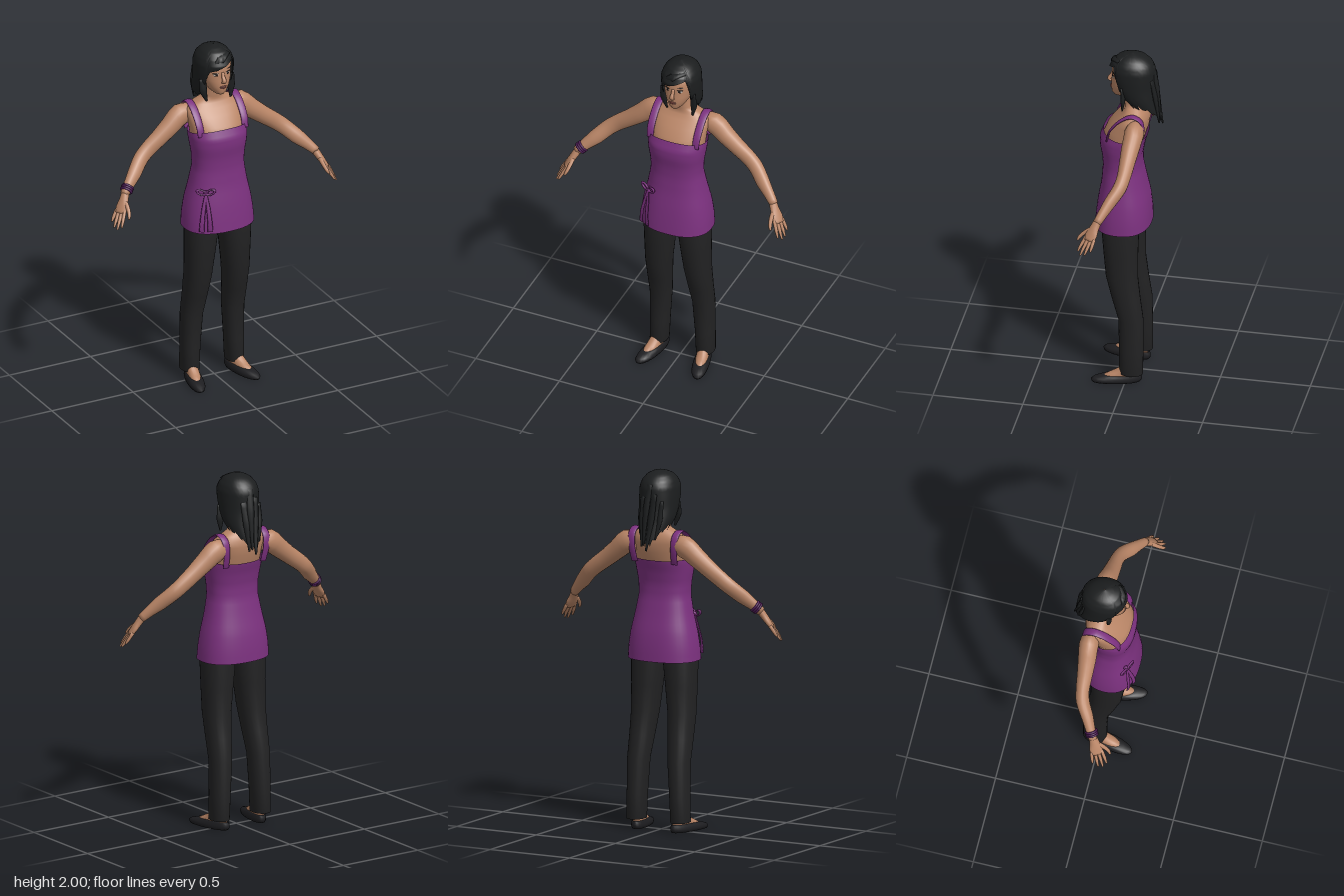
import * as THREE from 'three';

const mat = (name, color, side = THREE.FrontSide) => {
  const m = new THREE.MeshStandardMaterial({ color, side });
  m.name = name;
  return m;
};

// Closed skin over rows of ring points (each ring wraps round)
function skinRows(rows) {
  const n = rows[0].length, pos = [], idx = [];
  rows.forEach(r => r.forEach(p => pos.push(p.x, p.y, p.z)));
  for (let i = 0; i < rows.length - 1; i++) {
    for (let j = 0; j < n; j++) {
      const a = i * n + j, b = i * n + (j + 1) % n;
      idx.push(a, b, a + n, b, b + n, a + n);
    }
  }
  const g = new THREE.BufferGeometry();
  g.setAttribute('position', new THREE.Float32BufferAttribute(pos, 3));
  g.setIndex(idx);
  g.computeVertexNormals();
  return g;
}

// Upright body from a table of [y, half width, front z, back z, centre x].
// low and high give the rim height at each angle (0 = front, + = model's left).
function shell(table, { low, high, rows = 24, cols = 40, p = 0.9, side = 1, shear = 0 } = {}) {
  const at = y => {
    let i = 0;
    while (i < table.length - 2 && y > table[i + 1][0]) i++;
    const a = table[i], b = table[i + 1];
    const t = THREE.MathUtils.clamp((y - a[0]) / (b[0] - a[0]), 0, 1);
    return [1, 2, 3, 4].map(k => THREE.MathUtils.lerp(a[k] ?? 0, b[k] ?? 0, t));
  };
  const pw = v => Math.sign(v) * Math.abs(v) ** p;
  const exact = !low && !high;
  const count = exact ? table.length : rows + 1;
  const out = [];
  for (let i = 0; i < count; i++) {
    const ring = [];
    for (let j = 0; j < cols; j++) {
      const th = -Math.PI + j / cols * Math.PI * 2;
      const lo = low ? low(th) : table[0][0], hi = high ? high(th) : table.at(-1)[0];
      const y = exact ? table[i][0] : lo + (hi - lo) * (1 - (1 - i / rows) ** 1.6);
      const [rx, zf, zb, cx] = exact ? [1, 2, 3, 4].map(k => table[i][k] ?? 0) : at(y);
      const z = (zf + zb) / 2 + (zf - zb) / 2 * pw(Math.cos(th));
      ring.push(new THREE.Vector3(side * (cx + shear * z) + rx * pw(Math.sin(th)), y, z));
    }
    out.push(ring);
  }
  return skinRows(out);
}

// Tapered limb through [x, y, z, ru, rv]; ru lies along ref, rv across it
function limb(pts, ref, side = 1, sides = 14, steps = 3) {
  const curve = new THREE.CatmullRomCurve3(pts.map(p => new THREE.Vector3(p[0] * side, p[1], p[2])));
  const total = (pts.length - 1) * steps, rows = [];
  const R = new THREE.Vector3(ref[0] * side, ref[1], ref[2]);
  for (let i = 0; i <= total; i++) {
    const t = i / total, k = Math.min(Math.floor(i / steps), pts.length - 2), f = i / steps - k;
    const c = curve.getPoint(t), d = curve.getTangent(t);
    const u = R.clone().addScaledVector(d, -R.dot(d)).normalize();
    const v = d.clone().cross(u);
    const ru = THREE.MathUtils.lerp(pts[k][3], pts[k + 1][3], f);
    const rv = THREE.MathUtils.lerp(pts[k][4] ?? pts[k][3], pts[k + 1][4] ?? pts[k + 1][3], f);
    const ring = s => Array.from({ length: sides }, (_, j) => {
      const a = j / sides * Math.PI * 2;
      return c.clone().addScaledVector(u, ru * s * Math.cos(a)).addScaledVector(v, rv * s * Math.sin(a));
    });
    if (i === 0) rows.push(ring(0));
    rows.push(ring(1));
    if (i === total) rows.push(ring(0));
  }
  return skinRows(rows);
}

export function createModel() {
  const model = new THREE.Group();
  const skin = mat('skin', 0xb98566), purple = mat('purple cloth', 0x7c317f, THREE.DoubleSide);
  const trousers = mat('black trousers', 0x222223), hairMat = mat('black hair', 0x1c1e1f, THREE.DoubleSide);
  const shoeMat = mat('black shoe', 0x1d1d20), band = mat('dark purple band', 0x4d1b55);
  const white = mat('eye white', 0xc9c0b8), dark = mat('dark eye', 0x1e1512), lipMat = mat('lips', 0x8f4f45);
  const add = (name, geo, m, parent = model) => {
    const mesh = new THREE.Mesh(geo, m);
    mesh.name = name;
    parent.add(mesh);
    return mesh;
  };
  const blob = (name, m, x, y, z, sx, sy, sz, ry = 0) => {
    const b = add(name, new THREE.SphereGeometry(1, 14, 10), m);
    b.position.set(x, y, z);
    b.scale.set(sx, sy, sz);
    b.rotation.y = ry;
  };

  // Chest, shoulders and neck
  add('chest', shell([
    [1.42, .14, .14, -.06], [1.5, .155, .147, -.085], [1.55, .155, .125, -.1], [1.6, .163, .085, -.108],
    [1.635, .16, .052, -.104], [1.66, .125, .03, -.09], [1.682, .075, .025, -.075], [1.7, .055, .032, -.065],
    [1.78, .048, .04, -.055]]), skin);

  // Tunic with a dipped back neckline, and its shoulder straps
  add('tunic', shell([
    [.945, .205, .19, -.12], [1.02, .2, .183, -.117], [1.1, .188, .173, -.108], [1.2, .165, .156, -.086],
    [1.3, .147, .147, -.067], [1.37, .15, .151, -.067], [1.44, .161, .163, -.08], [1.49, .166, .164, -.095],
    [1.56, .163, .134, -.112]], {
    low: () => .945,
    high: th => 1.515 + .028 * Math.max(0, Math.cos(th)) - .01 * Math.max(0, -Math.cos(th)), p: .85
  }), purple);
  for (const s of [1, -1]) {
    add('shoulderStrap', limb([
      [.135, 1.51, .105, .02, .006], [.137, 1.56, .093, .021, .006], [.138, 1.61, .06, .022, .006],
      [.138, 1.655, .01, .022, .006], [.138, 1.672, -.04, .022, .006], [.136, 1.645, -.085, .022, .006],
      [.132, 1.58, -.096, .021, .006], [.125, 1.49, -.075, .02, .006]], [1, 0, 0], s), purple);
  }

  // Bow and ribbon tails on the right hip
  const bow = new THREE.Group();
  bow.name = 'bow';
  bow.position.set(-.125, 1.185, .14);
  bow.rotation.y = -.45;
  model.add(bow);
  add('knot', new THREE.SphereGeometry(.014, 10, 8), purple, bow);
  for (const s of [1, -1]) {
    const loop = add('bowLoop', new THREE.TorusGeometry(.02, .007, 6, 14), purple, bow);
    loop.position.set(s * .026, .006, .008);
    loop.scale.set(1.2, .7, 1);
    loop.rotation.z = s * .4;
    add('ribbonTail', limb([[0, 0, .005, .006, .003], [s * .012, -.08, .022, .011, .003],
      [s * .02, -.15, .035, .013, .003], [s * .024, -.22, .036, .015, .003]], [1, 0, 0], 1, 8), purple, bow);
  }

  // Hips hidden under the tunic
  add('hips', shell([[.935, .03, .08, -.03], [.96, .15, .13, -.07], [1.06, .165, .14, -.08], [1.12, .01, .05, 0]]), trousers);

  for (const s of [1, -1]) {
    // Trouser leg
    add('leg', shell([
      [.055, .03, .015, -.07, .138], [.055, .05, .036, -.096, .138], [.2, .053, .036, -.097, .134],
      [.39, .06, .042, -.095, .127], [.52, .066, .08, -.077, .121], [.65, .073, .113, -.062, .115],
      [.8, .083, .128, -.062, .107], [.94, .092, .14, -.066, .1], [1.05, .085, .13, -.06, .095]], { side: s, cols: 24 }), trousers);
    // Foot and slip-on shoe
    add('foot', shell([[.02, .036, .125, -.07, .137], [.04, .036, .115, -.072, .137], [.055, .034, .085, -.072, .137],
      [.075, .034, .045, -.074, .137], [.11, .03, .02, -.07, .137]], { side: s, shear: .2, cols: 20 }), skin);
    add('shoe', shell([[0, .001, .06, .05, .137], [0, .043, .18, -.08, .137], [.014, .047, .186, -.088, .137],
      [.026, .045, .172, -.088, .137], [.037, .041, .135, -.085, .137], [.045, .036, .09, -.082, .137],
      [.04, .03, .085, -.074, .137]], { side: s, shear: .2, cols: 24 }), shoeMat);

    // Arm, bent forward at the elbow
    add('arm', limb([
      [.12, 1.595, -.05, .045, .05], [.18, 1.59, -.055, .054, .064], [.25, 1.537, -.048, .05, .055],
      [.32, 1.483, -.043, .043, .049], [.39, 1.432, -.038, .037, .046], [.44, 1.392, -.025, .037, .044],
      [.5, 1.335, .015, .033, .042], [.55, 1.29, .045, .027, .032], [.59, 1.25, .07, .023, .025]],
      [0, 0, 1], s, 18), skin);

    // Hand: palm, four fingers and thumb laid out along d and across w
    const d = new THREE.Vector3(.46, -.81, .33).normalize();
    const w = new THREE.Vector3(-.4, 0, .9);
    w.addScaledVector(d, -w.dot(d)).normalize();
    const at = (a, b, ...r) => [.582 + d.x * a + w.x * b, 1.258 + d.y * a + w.y * b, .066 + d.z * a + w.z * b, ...r];
    const ref = w.toArray();
    add('palm', limb([at(0, 0, .022, .022), at(.04, .002, .027, .02), at(.08, .002, .037, .017),
      at(.118, 0, .034, .013)], ref, s), skin);
    [-.027, -.009, .009, .027].forEach((b, i) => {
      const len = [.17, .2, .21, .195][i];
      add('finger', limb([at(.1, b, .0105), at((.1 + len) / 2 + .01, b * 1.25, .0095),
        at(len, b * 1.35, .0055)], ref, s, 8), skin);
    });
    add('thumb', limb([at(.05, .015, .014), at(.085, .045, .012), at(.12, .064, .01), at(.142, .068, .006)], ref, s, 8), skin);

    // Eyes and brows
    blob('eyeWhite', white, s * .036, 1.858, .089, .016, .008, .005, s * .4);
    blob('iris', dark, s * .035, 1.858, .092, .008, .008, .004, s * .4);
    blob('eyeLash', dark, s * .037, 1.867, .09, .018, .003, .005, s * .4);
    blob('brow', dark, s * .038, 1.885, .09, .019, .003, .004, s * .4);
  }

  // Bracelet on the right wrist
  for (const k of [-.011, 0, .011]) {
    const ring = add('bracelet', new THREE.TorusGeometry(.03, .0065, 8, 20), band);
    const dir = new THREE.Vector3(-.64, -.62, .42).normalize();
    ring.position.set(-.567, 1.274, .057).addScaledVector(dir, k);
    ring.quaternion.setFromUnitVectors(new THREE.Vector3(0, 0, 1), dir);
  }

  // Head, nose and mouth
  add('head', shell([
    [1.728, .005, .075, .03], [1.735, .027, .092, -.01], [1.752, .045, .103, -.04], [1.785, .065, .106, -.06],
    [1.82, .077, .106, -.08], [1.86, .083, .1, -.09], [1.9, .085, .102, -.095], [1.94, .075, .085, -.085],
    [1.975, .04, .045, -.045], [1.985, .001, 0, 0]], { p: .95 }), skin);
  add('nose', limb([[0, 1.87, .098, .008], [0, 1.845, .107, .01], [0, 1.824, .118, .014, .012],
    [0, 1.812, .106, .012, .006]], [1, 0, 0], 1, 10), skin);
  blob('upperLip', lipMat, 0, 1.786, .105, .021, .005, .006);
  blob('lowerLip', lipMat, 0, 1.778, .104, .017, .005, .006);

  // Hair: swept fringe in front, curtains beside the face, long taper behind
  const ease = (a, b, v) => THREE.MathUtils.smoothstep(v, a, b);
  add('hair', shell([
    [1.56, .03, -.13, -.172], [1.63, .06, -.07, -.168], [1.69, .088, 0, -.155], [1.74, .103, .05, -.145],
    [1.8, .107, .088, -.138], [1.86, .108, .108, -.138], [1.91, .106, .116, -.137], [1.945, .094, .1, -.122],
    [1.975, .07, .07, -.09], [1.99, .042, .035, -.055], [2, .001, -.01, -.012]], {
    low: th => {
      const a = Math.abs(th), ragged = .012 * Math.sin(th * 17) + .008 * Math.sin(th * 29);
      const fringe = 1.905 + .03 * Math.sin(th * 1.5);
      const curtain = 1.7 - .1 * ease(1.6, 2.9, a) + ragged;
      return THREE.MathUtils.lerp(fringe, curtain, ease(.72, .98, a));
    }, high: () => 2, rows: 26, cols: 64, p: .95
  }), hairMat);

  // Loose locks at the back, sides and crown
  const locks = [
    [[-.03, 1.88, -.13], [-.02, 1.74, -.146], [-.005, 1.57, -.178]],
    [[.04, 1.86, -.125], [.035, 1.74, -.146], [.03, 1.59, -.165]],
    [[0, 1.93, -.125], [.01, 1.8, -.148], [.015, 1.6, -.172]],
    [[.085, 1.82, .03], [.09, 1.74, .025], [.085, 1.675, .03]],
    [[-.088, 1.82, .03], [-.085, 1.75, .035], [-.065, 1.685, .035]],
    [[-.06, 1.84, -.11], [-.06, 1.74, -.125], [-.045, 1.63, -.15]],
    [[.05, 1.965, .05], [-.01, 1.945, .095], [-.075, 1.885, .072]]
  ];
  locks.forEach(l => add('hairLock', limb(l.map((p, i) => [...p, [.02, .022, .006][i], [.008, .012, .004][i]]),
    [1, 0, .2], 1, 8, 4), hairMat));

  return model;
}
